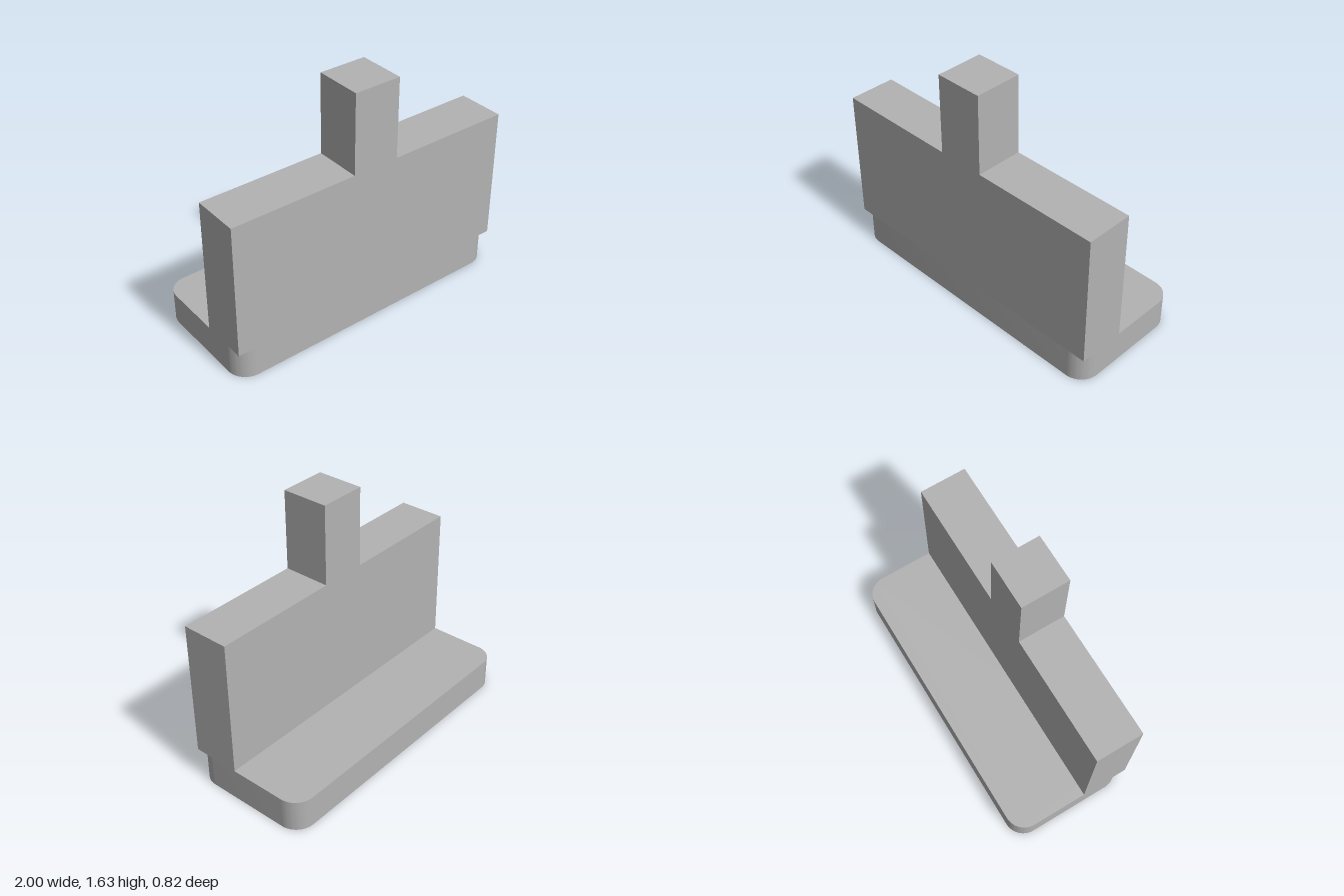
import * as THREE from 'three';
import { toCreasedNormals } from 'three/addons/utils/BufferGeometryUtils.js';

const HALF_W = 1, HALF_D = 0.41, BASE_H = 0.21, RADIUS = 0.13;
const WALL_TOP = 1.105, POST_TOP = 1.635, POST_HALF = 0.158, WALL_BACK = 0.095;

// Rectangle centred on the origin with rounded corners
function roundedRect(hw, hd, r) {
  const s = new THREE.Shape();
  s.absarc(hw - r, hd - r, r, 0, Math.PI / 2);
  s.absarc(-hw + r, hd - r, r, Math.PI / 2, Math.PI);
  s.absarc(-hw + r, -hd + r, r, Math.PI, Math.PI * 1.5);
  s.absarc(hw - r, -hd + r, r, Math.PI * 1.5, Math.PI * 2);
  s.closePath();
  return s;
}

export function createModel() {
  const group = new THREE.Group();
  const grey = new THREE.MeshStandardMaterial({ color: 0xb3b3b3 });
  grey.name = 'grey';

  const add = (name, geometry) => {
    const mesh = new THREE.Mesh(geometry, grey);
    mesh.name = name;
    group.add(mesh);
  };

  // Base plate with rounded vertical corners
  const base = new THREE.ExtrudeGeometry(roundedRect(HALF_W, HALF_D, RADIUS), {
    depth: BASE_H, bevelEnabled: false, curveSegments: 12,
  });
  base.rotateX(-Math.PI / 2);
  add('basePlate', toCreasedNormals(base, Math.PI / 6));

  // Upright wall and its central post, one outline flush with the front
  const outline = new THREE.Shape([
    [-HALF_W, BASE_H], [HALF_W, BASE_H], [HALF_W, WALL_TOP], [POST_HALF, WALL_TOP],
    [POST_HALF, POST_TOP], [-POST_HALF, POST_TOP], [-POST_HALF, WALL_TOP], [-HALF_W, WALL_TOP],
  ].map(([x, y]) => new THREE.Vector2(x, y)));
  const wall = new THREE.ExtrudeGeometry(outline, {
    depth: HALF_D - WALL_BACK, bevelEnabled: false,
  });
  wall.translate(0, 0, WALL_BACK);
  add('wallWithPost', wall);

  return group;
}
